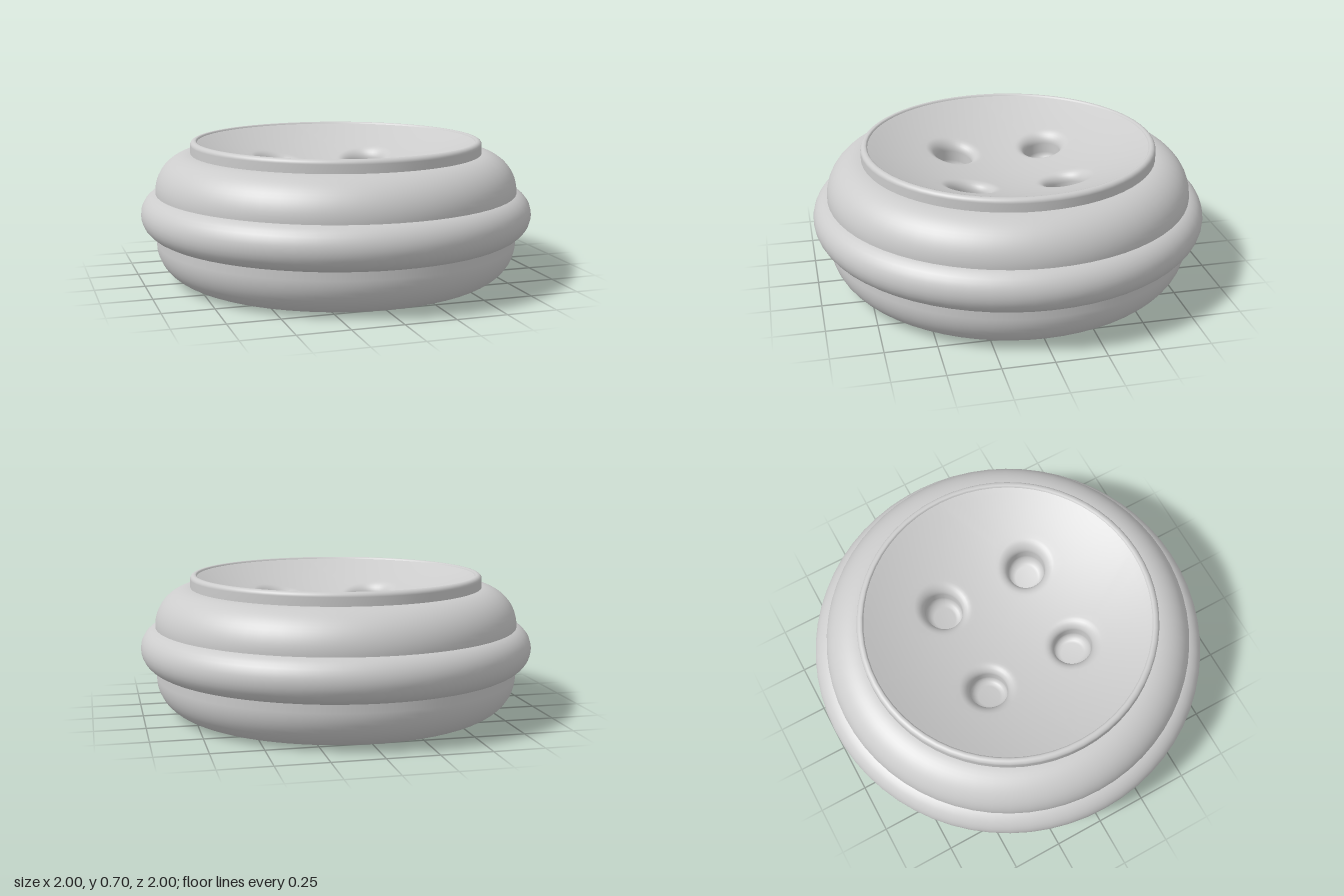
import * as THREE from 'three';
import { mergeGeometries, mergeVertices } from 'three/addons/utils/BufferGeometryUtils.js';

const SEGMENTS = 64;
const DISH_R = 0.71, DISH_EDGE_Y = 0.695, DISH_DEPTH = 0.17;
const HOLE_POS = 0.24, HOLE_R = 0.095, FILLET = 0.05, HOLE_DEPTH = 0.14;

const dishY = (x, z) => DISH_EDGE_Y - DISH_DEPTH * (1 - (x * x + z * z) / DISH_R ** 2);

// Points along a circular arc in the lathe plane
function arc(cx, cy, r, from, to, steps) {
  return Array.from({ length: steps + 1 }, (_, i) => {
    const a = THREE.MathUtils.degToRad(from + ((to - from) * i) / steps);
    return new THREE.Vector2(cx + r * Math.cos(a), cy + r * Math.sin(a));
  });
}

// One quarter of the dished top: a polar grid around its hole, out to the sector edge
function dishQuarter() {
  const edge = [];
  const axisSteps = 14, arcSteps = SEGMENTS / 4;
  for (let i = 0; i < axisSteps; i++) edge.push([(DISH_R * i) / axisSteps, 0]);
  for (let i = 0; i < arcSteps; i++) {
    const a = (i / arcSteps) * Math.PI / 2;
    edge.push([DISH_R * Math.cos(a), DISH_R * Math.sin(a)]);
  }
  for (let i = axisSteps; i >= 0; i--) edge.push([0, (DISH_R * i) / axisSteps]);

  // Hole section, centre outwards: [radius, drop below the dish]
  const section = [[0, HOLE_DEPTH]];
  for (const p of arc(HOLE_R - 0.04, 0, 0.04, -90, 0, 5)) section.push([p.x, HOLE_DEPTH - 0.04 - p.y]);
  for (const p of arc(HOLE_R + FILLET, 0, FILLET, 180, 90, 7)) section.push([p.x, FILLET - p.y]);

  const rows = section.length + 9;
  const position = [], index = [];
  for (let j = 0; j < rows; j++) {
    for (const [ex, ez] of edge) {
      const dx = ex - HOLE_POS, dz = ez - HOLE_POS, reach = Math.hypot(dx, dz);
      const inner = HOLE_R + FILLET;
      const k = (j - section.length + 1) / 9;
      const [r, drop] = j < section.length ? section[j] : [inner + (reach - inner) * k, 0];
      const x = HOLE_POS + (dx / reach) * r, z = HOLE_POS + (dz / reach) * r;
      position.push(x, dishY(x, z) - drop, z);
    }
  }
  const n = edge.length;
  for (let j = 0; j < rows - 1; j++) {
    for (let i = 0; i < n - 1; i++) {
      const a = j * n + i, b = a + 1, c = a + n, d = c + 1;
      if (j > 0) index.push(a, b, c);
      index.push(b, d, c);
    }
  }
  const geometry = new THREE.BufferGeometry();
  geometry.setAttribute('position', new THREE.Float32BufferAttribute(position, 3));
  geometry.setIndex(index);
  return geometry;
}

export function createModel() {
  const group = new THREE.Group();
  const material = new THREE.MeshStandardMaterial({ color: 0xcccccc });
  const add = (name, geometry) => {
    const mesh = new THREE.Mesh(geometry, material);
    mesh.name = name;
    group.add(mesh);
    return mesh;
  };

  // Rounded cushion body with a flat base
  add('body', new THREE.LatheGeometry([
    new THREE.Vector2(0, 0),
    new THREE.Vector2(0.6, 0),
    ...arc(0.735, 0.19, 0.19, -90, 0, 14),
    ...arc(0.735, 0.45, 0.19, 0, 90, 14),
    new THREE.Vector2(0.71, 0.64),
  ], SEGMENTS));

  // Bulging band around the waist
  const band = add('band', new THREE.TorusGeometry(0.887, 0.113, 32, SEGMENTS));
  band.rotation.x = Math.PI / 2;
  band.position.y = 0.337;

  // Raised rim with a softly rounded lip
  add('rim', new THREE.LatheGeometry([
    new THREE.Vector2(0.745, 0.62),
    new THREE.Vector2(0.745, 0.65),
    ...arc(0.723, 0.682, 0.022, 0, 115, 10),
    new THREE.Vector2(DISH_R, DISH_EDGE_Y),
  ], SEGMENTS));

  // Dished top with four thread holes
  const quarters = [0, 1, 2, 3].map((i) => dishQuarter().rotateY((i * Math.PI) / 2));
  const dish = mergeVertices(mergeGeometries(quarters), 1e-4);
  dish.computeVertexNormals();
  add('dishedTop', dish);

  return group;
}
